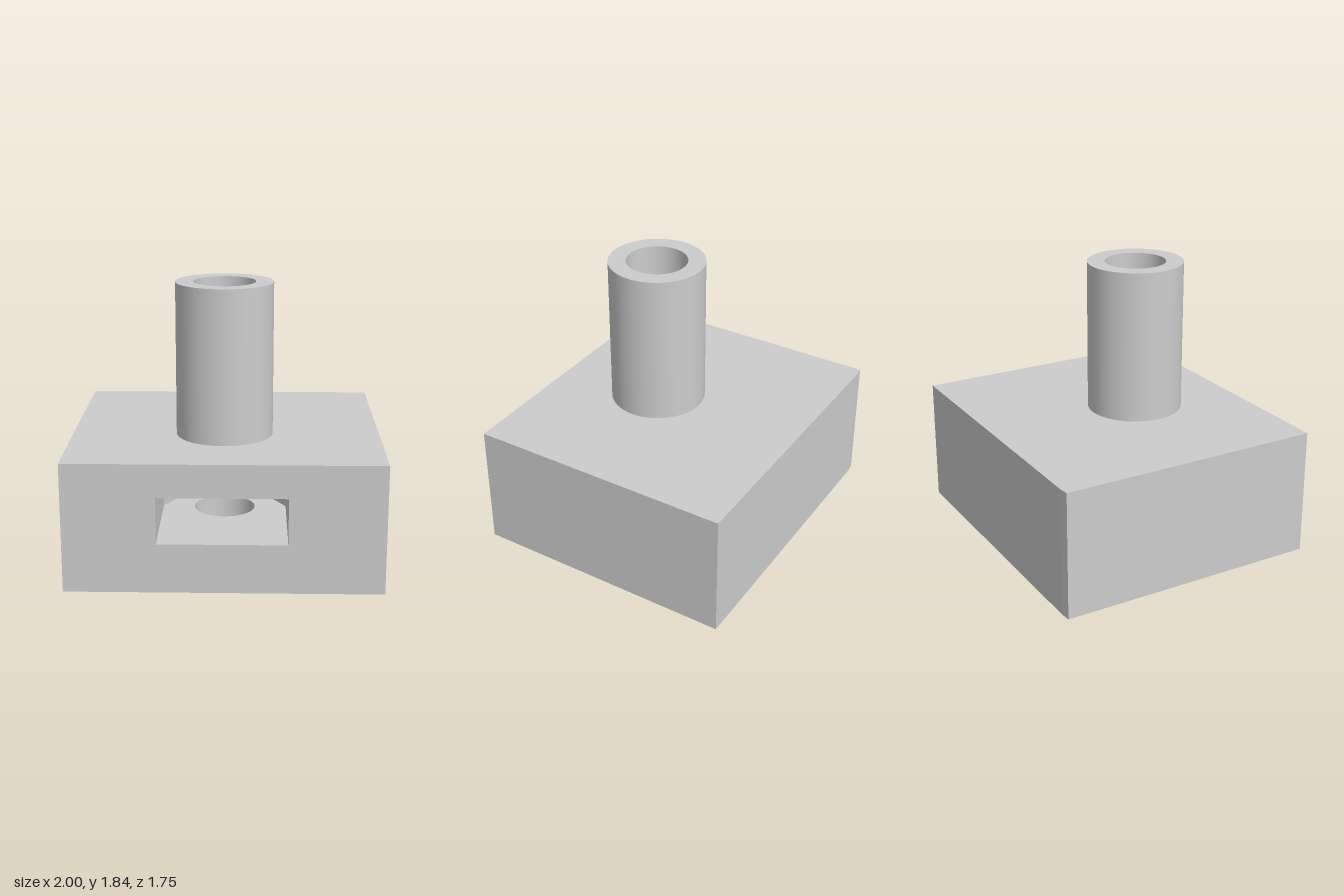
import * as THREE from 'three';

const CX = -0.01, CZ = 0.18;                 // bore axis
const BORE = 0.2, TUBE = 0.315;              // radii
const H = 0.835, TOP = 1.835;                // block and tube heights
const SLOT_LOW = 0.32, SLOT_HIGH = 0.62;     // nut pocket floor and roof
const FRONT = 0.875;

// Plan outlines as [x, z], from the front around the back
const blockPlan = [[1, FRONT], [1, -0.875], [-0.93, -0.875], [-1, -0.868], [-1, FRONT]];
const hexR = 0.407, hexBack = CZ - hexR * Math.sqrt(3) / 2;
const pocketPlan = [
  [CX - hexR, FRONT], [CX - hexR, CZ], [CX - hexR / 2, hexBack],
  [CX + hexR / 2, hexBack], [CX + hexR, CZ], [CX + hexR, FRONT],
];

// Flat-shaded upright walls along a plan polyline
function walls(plan, y0, y1) {
  const pos = [];
  for (let i = 0; i < plan.length - 1; i++) {
    const [ax, az] = plan[i], [bx, bz] = plan[i + 1];
    pos.push(ax, y0, az, bx, y0, bz, bx, y1, bz, ax, y0, az, bx, y1, bz, ax, y1, az);
  }
  const g = new THREE.BufferGeometry();
  g.setAttribute('position', new THREE.Float32BufferAttribute(pos, 3));
  g.computeVertexNormals();
  return g;
}

// Horizontal face with a round hole, facing up or down
function plate(plan, holeRadius, y, up) {
  const s = up ? -1 : 1;
  const shape = new THREE.Shape(plan.map(([x, z]) => new THREE.Vector2(x, s * z)));
  shape.holes.push(new THREE.Path().absarc(CX, s * CZ, holeRadius, 0, Math.PI * 2));
  return new THREE.ShapeGeometry(shape, 32).rotateX(s * Math.PI / 2).translate(0, y, 0);
}

// Surface of revolution about the bore axis
function revolve(r0, y0, r1, y1) {
  const pts = [new THREE.Vector2(r0, y0), new THREE.Vector2(r1, y1)];
  return new THREE.LatheGeometry(pts, 64).translate(CX, 0, CZ);
}

// Front face with the pocket opening
function frontFace() {
  const rect = (S, x0, x1, y0, y1) =>
    new S([[x0, y0], [x1, y0], [x1, y1], [x0, y1]].map(p => new THREE.Vector2(...p)));
  const face = rect(THREE.Shape, -1, 1, 0, H);
  face.holes.push(rect(THREE.Path, CX - hexR, CX + hexR, SLOT_LOW, SLOT_HIGH));
  return new THREE.ShapeGeometry(face).translate(0, 0, FRONT);
}

export function createModel() {
  const model = new THREE.Group();
  model.name = 'blockWithTube';
  const grey = new THREE.MeshStandardMaterial({ color: 0xcccccc });
  grey.name = 'light grey';

  const group = (name, parts) => {
    const g = new THREE.Group();
    g.name = name;
    for (const [part, geometry] of Object.entries(parts)) {
      const mesh = new THREE.Mesh(geometry, grey);
      mesh.name = part;
      g.add(mesh);
    }
    model.add(g);
  };

  group('block', {
    blockSides: walls(blockPlan, 0, H),
    blockFront: frontFace(),
    blockTop: plate(blockPlan, TUBE, H, true),
    blockBottom: plate(blockPlan, BORE, 0, false),
  });

  // Hexagonal nut pocket, open to the front
  group('nutPocket', {
    pocketWalls: walls(pocketPlan, SLOT_LOW, SLOT_HIGH),
    pocketFloor: plate(pocketPlan, BORE, SLOT_LOW, true),
    pocketRoof: plate(pocketPlan, BORE, SLOT_HIGH, false),
  });

  // Upright tube and the bore running down through the block
  group('tube', {
    tubeOutside: revolve(TUBE, H, TUBE, TOP),
    tubeRim: revolve(TUBE, TOP, BORE, TOP),
    upperBore: revolve(BORE, TOP, BORE, SLOT_HIGH),
    lowerBore: revolve(BORE, SLOT_LOW, BORE, 0),
  });

  return model;
}
